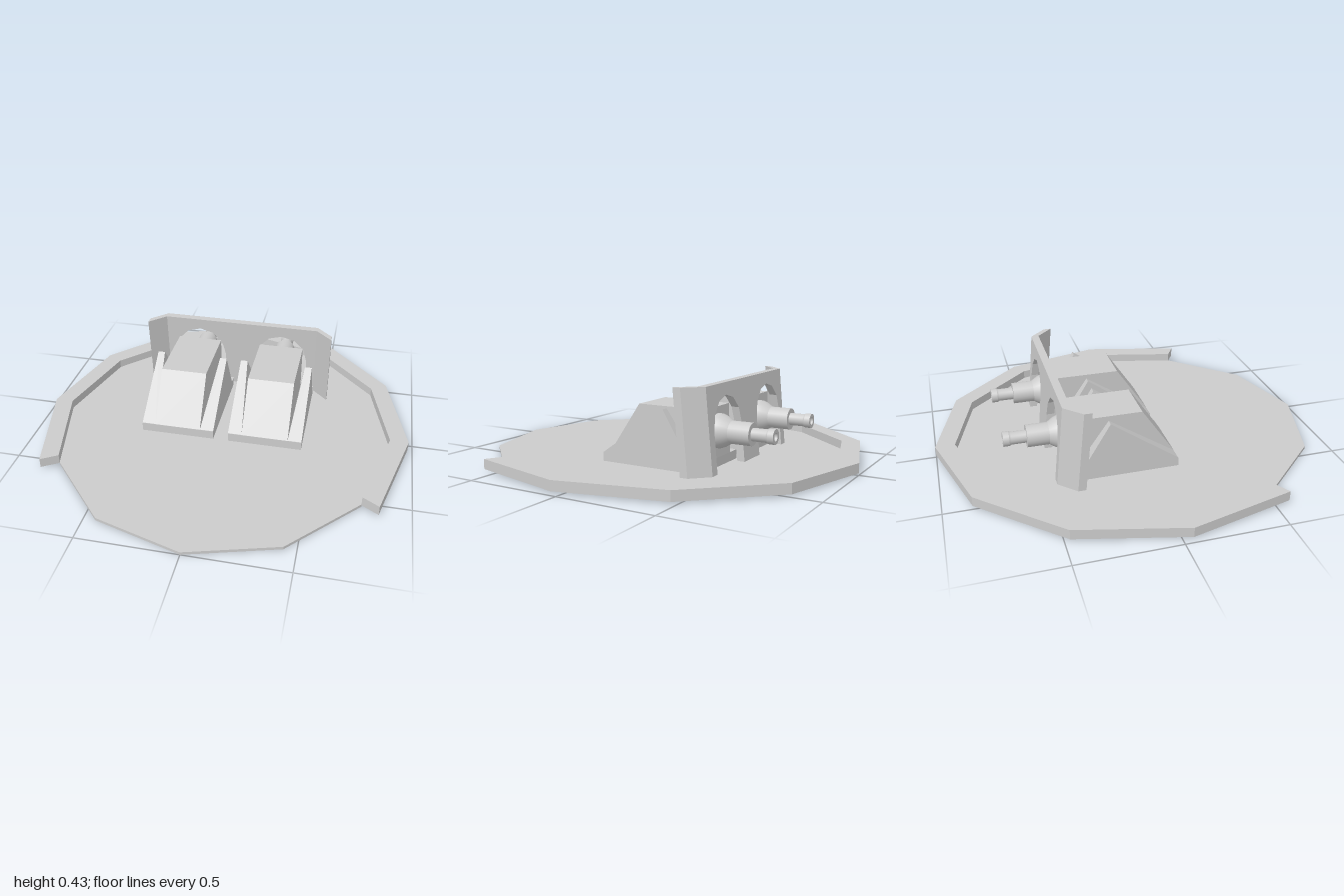
import * as THREE from 'three';
import { ConvexGeometry } from 'three/addons/geometries/ConvexGeometry.js';

const flat = new THREE.MeshStandardMaterial({ color: 0xcccccc, flatShading: true });
const smooth = new THREE.MeshStandardMaterial({ color: 0xcccccc, side: THREE.DoubleSide });

function add(parent, name, geometry, material = flat) {
  const mesh = new THREE.Mesh(geometry, material);
  mesh.name = name;
  parent.add(mesh);
  return mesh;
}

// Convex solid from a list of [x, y, z] corners
const hull = (pts) => new ConvexGeometry(pts.map((p) => new THREE.Vector3(...p)));

// Corner i of a twelve-sided oval, counted from the back; y of the shape is -z
function ovalPoint(i, rx, rz) {
  const a = (i * Math.PI) / 6;
  return new THREE.Vector2(rx * Math.sin(a), rz * Math.cos(a) - 0.05);
}

// Extrude a plan shape upwards from y0 to y1
function slab(points, y0, y1) {
  const g = new THREE.ExtrudeGeometry(new THREE.Shape(points), { depth: y1 - y0, bevelEnabled: false });
  return g.rotateX(-Math.PI / 2).translate(0, y0, 0);
}

// The back wall leans: its foot is further back than its top
const TOP = 0.43, FOOT = 0.012;
function lean(geometry) {
  const p = geometry.attributes.position;
  for (let i = 0; i < p.count; i++) p.setZ(i, p.getZ(i) + (p.getY(i) - TOP) * 0.095);
  geometry.computeVertexNormals();
  return geometry;
}

function buildBase(group) {
  const floor = [], outer = [], inner = [];
  for (let i = 0; i < 12; i++) floor.push(ovalPoint(i, 0.88, 0.95));
  for (let i = -4; i <= 4; i++) {
    outer.push(ovalPoint(i, 0.975, 1.05));
    inner.unshift(ovalPoint(i, 0.88, 0.95));
  }
  add(group, 'floor', slab(floor, 0, 0.015));
  add(group, 'rim', slab([...outer, ...inner], 0.01, 0.06));
}

function buildWall(group) {
  // Outline with two arched doorways cut up from the bottom edge
  const s = new THREE.Shape();
  s.moveTo(-0.43, FOOT);
  for (const cx of [-0.235, 0.235]) {
    s.lineTo(cx - 0.145, FOOT);
    for (let i = 0; i <= 6; i++) {
      const a = Math.PI - (i * Math.PI) / 6;
      s.lineTo(cx + 0.145 * Math.cos(a), 0.215 + 0.155 * Math.sin(a));
    }
    s.lineTo(cx + 0.145, FOOT);
  }
  s.lineTo(0.43, FOOT);
  s.lineTo(0.43, TOP);
  s.lineTo(-0.43, TOP);
  const g = new THREE.ExtrudeGeometry(s, { depth: 0.04, bevelEnabled: false });
  add(group, 'backWall', lean(g.translate(0, 0, -0.41)));

  // Angled wings at both ends
  for (const side of [-1, 1]) {
    const pts = [];
    for (const y of [FOOT, TOP]) {
      for (const [x, z] of [[0.43, -0.37], [0.515, -0.285], [0.515, -0.325], [0.43, -0.41]]) {
        pts.push([side * x, y, z + (y - TOP) * 0.095]);
      }
    }
    add(group, side > 0 ? 'leftWing' : 'rightWing', hull(pts));
  }
}

function buildUnit() {
  const unit = new THREE.Group();
  unit.name = 'housingUnit';

  // Footing
  const foot = add(unit, 'footing', new THREE.BoxGeometry(0.39, 0.05, 0.55));
  foot.position.set(0, 0.037, -0.105);

  // Central body with a sloping front
  const body = [];
  for (const x of [-0.122, 0.122]) {
    for (const [y, z] of [[0.06, 0.17], [0.31, 0], [0.31, -0.37], [0.06, -0.38]]) body.push([x, y, z]);
  }
  add(unit, 'body', hull(body));

  // Triangular side gussets, thinner at the peak
  for (const s of [-1, 1]) {
    add(unit, 'sideGusset', hull([
      [s * 0.122, 0.06, 0.17], [s * 0.195, 0.06, 0.17],
      [s * 0.122, 0.06, -0.33], [s * 0.195, 0.06, -0.33],
      [s * 0.158, 0.307, -0.18], [s * 0.195, 0.307, -0.18],
    ]));
  }

  // Hollow stepped nozzle; [radius, distance behind the centre], doubled points keep edges sharp
  const profile = [
    [0.085, 0.37], [0.085, 0.395], [0.085, 0.395], [0.075, 0.42], [0.056, 0.45], [0.056, 0.45],
    [0.056, 0.56], [0.056, 0.56], [0.032, 0.56], [0.032, 0.56], [0.032, 0.635], [0.037, 0.645],
    [0.037, 0.645], [0.037, 0.675], [0.037, 0.675], [0.02, 0.675], [0.02, 0.675], [0.02, 0.6],
    [0.02, 0.6], [0, 0.6],
  ].map(([r, d]) => new THREE.Vector2(r, d));
  const nozzle = add(unit, 'nozzle', new THREE.LatheGeometry(profile, 24), smooth);
  nozzle.rotation.x = -Math.PI / 2;
  nozzle.position.y = 0.192;
  return unit;
}

export function createModel() {
  const group = new THREE.Group();
  group.name = 'twinNozzlePlatform';
  buildBase(group);
  buildWall(group);
  for (const x of [-0.235, 0.235]) {
    const unit = buildUnit();
    unit.position.x = x;
    group.add(unit);
  }
  return group;
}
